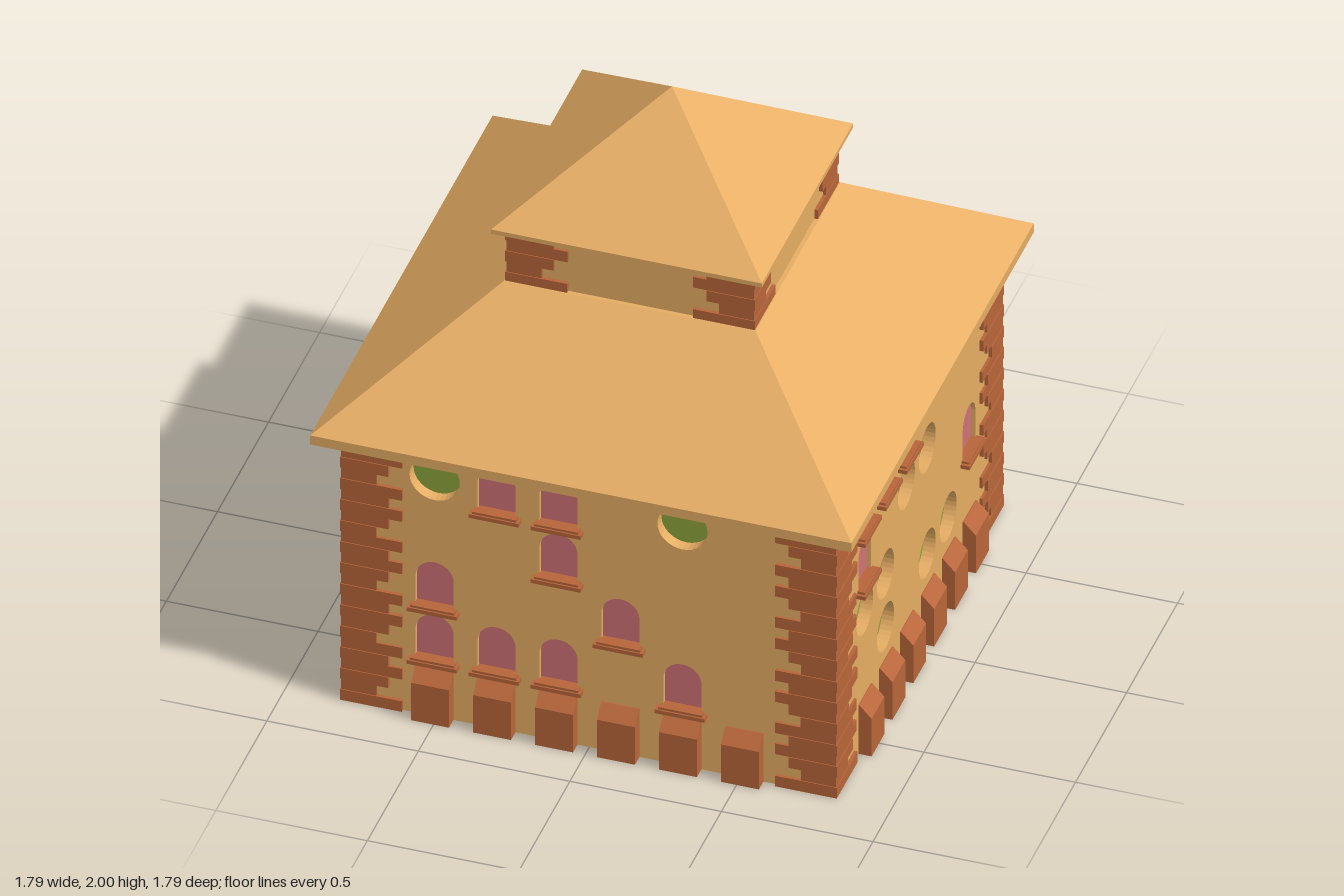
import * as THREE from 'three';

const CELL = 0.2045;
const mat = (color, side = THREE.FrontSide) =>
  new THREE.MeshStandardMaterial({ color, side, flatShading: true });
const plaster = mat(0xe6ad63);
const brick = mat(0xb86539);
const pinkGlass = mat(0xd07276, THREE.DoubleSide);
const greenGlass = mat(0x8ca53b, THREE.DoubleSide);

// Openings per side, rows from the top down, as seen from outside: o = round, w = arched
const MAIN = [
  ['oww.o.', '..w...', 'w..w..', 'www.w.'],
  ['wwwo..', 'w.oo..', 'oo...w', '.o.oo.'],
  ['w.....', 'ooowow', 'w.ow.o', 'oo..ow'],
  ['...oow', 'w..ow.', '..w...', 'oowo..'],
];
const TOWER = [['..'], ['..'], ['.o'], ['.w']];

function add(parent, name, geometry, material, x = 0, y = 0, z = 0) {
  const mesh = new THREE.Mesh(geometry, material);
  mesh.name = name;
  mesh.position.set(x, y, z);
  parent.add(mesh);
  return mesh;
}

function trace(path, kind, x, y) {
  if (kind === 'o') {
    path.absarc(x, y, 0.083, 0, Math.PI * 2, false);
  } else {
    path.moveTo(x - 0.0625, y - 0.085);
    path.lineTo(x + 0.0625, y - 0.085);
    path.lineTo(x + 0.0625, y + 0.022);
    path.absarc(x, y + 0.022, 0.0625, 0, Math.PI, false);
    path.lineTo(x - 0.0625, y - 0.085);
  }
  return path;
}

// One wall with real openings, recessed panes and sills; its outer face is at z = face
function wallSide(rows, halfWidth, bottom, top, face) {
  const side = new THREE.Group();
  const wall = new THREE.Shape();
  wall.moveTo(-halfWidth, bottom);
  wall.lineTo(halfWidth, bottom);
  wall.lineTo(halfWidth, top);
  wall.lineTo(-halfWidth, top);
  wall.closePath();
  rows.forEach((row, r) => [...row].forEach((kind, c) => {
    if (kind === '.') return;
    const x = (c - (row.length - 1) / 2) * CELL;
    const y = top - (r + 0.5) * CELL;
    wall.holes.push(trace(new THREE.Path(), kind, x, y));
    const pane = new THREE.ShapeGeometry(trace(new THREE.Shape(), kind, x, y), 16);
    if (kind === 'o') {
      add(side, 'roundWindow', pane, greenGlass, 0, 0, face - 0.04);
    } else {
      add(side, 'archedWindow', pane, pinkGlass, 0, 0, face - 0.015);
      add(side, 'sillTop', new THREE.BoxGeometry(0.145, 0.008, 0.05), brick, x, y - 0.084, face);
      add(side, 'sill', new THREE.BoxGeometry(0.165, 0.014, 0.06), brick, x, y - 0.095, face);
    }
  }));
  const geometry = new THREE.ExtrudeGeometry(wall, { depth: 0.06, bevelEnabled: false, curveSegments: 16 });
  add(side, 'wall', geometry, plaster, 0, 0, face - 0.06);
  return side;
}

// Staggered brick corners, five courses to a storey
function quoins(parent, half, bottom, storeys) {
  const insets = [0, 0.085, 0.045, 0, 0.045];
  const h = CELL / 5;
  for (const sx of [-1, 1]) for (const sz of [-1, 1]) {
    for (let i = 0; i < storeys * 5; i++) {
      const outer = half - (i % 2) * 0.003;
      const inner = half - 2 * CELL + insets[i % 5] + CELL;
      const size = outer - inner;
      const mid = (outer + inner) / 2;
      add(parent, 'cornerBrick', new THREE.BoxGeometry(size, h, size), brick,
        sx * mid, bottom + (i + 0.5) * h, sz * mid);
    }
  }
}

// Square roof: a flat eave slab and a four-sided slope
function roof(parent, name, half, topHalf, y, eave, top) {
  const slab = new THREE.BoxGeometry(half * 2, eave, half * 2);
  add(parent, name + 'Eave', slab, plaster, 0, y + eave / 2, 0);
  const slope = new THREE.CylinderGeometry(topHalf * Math.SQRT2, half * Math.SQRT2, top - y - eave, 4);
  slope.rotateY(Math.PI / 4);
  add(parent, name, slope, plaster, 0, (top + y + eave) / 2, 0);
}

// Buttress profile (outward, up), extruded along the wall
function buttressGeometry() {
  const profile = new THREE.Shape([[0.78, 0], [0.852, 0], [0.852, 0.145], [0.812, 0.188], [0.78, 0.188]]
    .map(([a, b]) => new THREE.Vector2(a, b)));
  const g = new THREE.ExtrudeGeometry(profile, { depth: 0.125, bevelEnabled: false });
  g.translate(0, 0, -0.0625);
  g.rotateY(-Math.PI / 2);
  return g;
}

export function createModel() {
  const model = new THREE.Group();
  model.name = 'house';
  const names = ['front', 'left', 'back', 'right'];
  const buttress = buttressGeometry();
  const mainTop = 5 * CELL;
  const towerBottom = 1.43;
  const towerTop = towerBottom + CELL;

  names.forEach((name, i) => {
    const side = wallSide(MAIN[i], 0.79, 0, mainTop, 0.808);
    side.name = name + 'Side';
    for (let c = 0; c < 6; c++) add(side, 'buttress', buttress, brick, (c - 2.5) * CELL, 0, 0);
    // End buttresses wrap the foot of each corner
    side.rotation.y = i * Math.PI / 2;
    model.add(side);

    const upper = wallSide(TOWER[i], 0.38, towerBottom, towerTop, 0.4);
    upper.name = name + 'TowerSide';
    upper.rotation.y = i * Math.PI / 2;
    model.add(upper);
  });

  add(model, 'floor', new THREE.BoxGeometry(1.61, 0.02, 1.61), plaster, 0, 0.01, 0);
  quoins(model, 0.82, 0, 5);
  quoins(model, 0.412, towerBottom, 1);
  roof(model, 'mainRoof', 0.893, 0.415, mainTop, 0.035, 1.437);
  roof(model, 'towerRoof', 0.447, 0, towerTop, 0.016, 2);
  return model;
}
